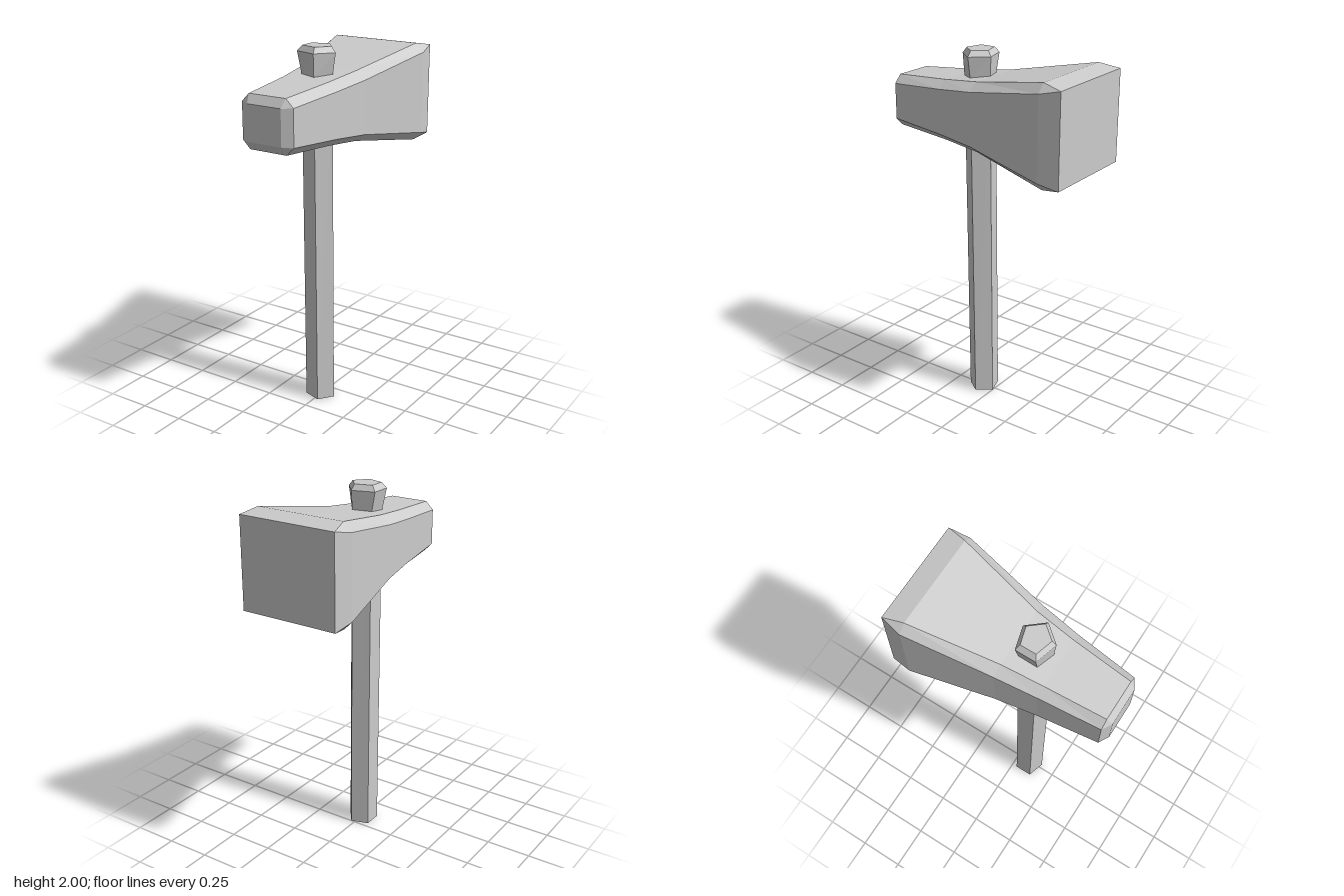
import * as THREE from 'three';

// Skin a list of equal-length rings (each counter-clockwise seen from the far end), capped at both ends
function loft(rings) {
  const pos = [];
  const tri = (a, b, c) => {
    const area = new THREE.Triangle(a, b, c).getArea();
    if (area > 1e-7) for (const p of [a, b, c]) pos.push(p.x, p.y, p.z);
  };
  const n = rings[0].length;
  for (let k = 0; k < rings.length - 1; k++) {
    const a = rings[k], b = rings[k + 1];
    for (let i = 0; i < n; i++) {
      const j = (i + 1) % n;
      tri(a[i], a[j], b[j]);
      tri(a[i], b[j], b[i]);
    }
  }
  const first = rings[0], last = rings[rings.length - 1];
  for (let i = 1; i < n - 1; i++) {
    tri(first[0], first[i + 1], first[i]);
    tri(last[0], last[i], last[i + 1]);
  }
  const geo = new THREE.BufferGeometry();
  geo.setAttribute('position', new THREE.Float32BufferAttribute(pos, 3));
  geo.computeVertexNormals();
  return geo;
}

// Rectangle with chamfered corners in the xy plane
function chamferedRing({ z, y, w, h, cx, cy }) {
  return [
    [w, -h + cy], [w, h - cy], [w - cx, h], [-w + cx, h],
    [-w, h - cy], [-w, -h + cy], [-w + cx, -h], [w - cx, -h],
  ].map(([px, py]) => new THREE.Vector3(px, y + py, z));
}

// Slightly squashed pentagon lying flat, one corner toward +x
function pentagonRing({ y, x, z, rx, rz }) {
  return Array.from({ length: 5 }, (_, i) => {
    const a = (i / 5) * Math.PI * 2;
    return new THREE.Vector3(x + rx * Math.cos(a), y, z - rz * Math.sin(a));
  });
}

export function createModel() {
  const group = new THREE.Group();
  const material = new THREE.MeshStandardMaterial({ color: 0xcccccc, flatShading: true });
  const add = (name, geo) => {
    const mesh = new THREE.Mesh(geo, material);
    mesh.name = name;
    group.add(mesh);
  };

  // Hammer head: broad at the back, narrow at the front, square end faces
  add('hammerHead', loft([
    { z: -0.577, y: 1.6875, w: 0.28, h: 0.2475, cx: 0, cy: 0 },
    { z: -0.465, y: 1.6875, w: 0.3, h: 0.268, cx: 0.046, cy: 0.046 },
    { z: 0, y: 1.685, w: 0.218, h: 0.185, cx: 0.058, cy: 0.042 },
    { z: 0.22, y: 1.6825, w: 0.188, h: 0.163, cx: 0.052, cy: 0.042 },
    { z: 0.547, y: 1.681, w: 0.153, h: 0.14, cx: 0.043, cy: 0.043 },
    { z: 0.577, y: 1.681, w: 0.1, h: 0.095, cx: 0, cy: 0 },
  ].map(chamferedRing)));

  // Handle: five-sided, leaning slightly forward, flared knob above the head
  add('handle', loft([
    { y: 0, x: -0.005, z: 0.08, rx: 0.086, rz: 0.084 },
    { y: 1.85, x: -0.005, z: 0.097, rx: 0.086, rz: 0.087 },
    { y: 1.97, x: -0.01, z: 0.097, rx: 0.11, rz: 0.0955 },
    { y: 2, x: -0.008, z: 0.097, rx: 0.083, rz: 0.073 },
  ].map(pentagonRing)));

  return group;
}
